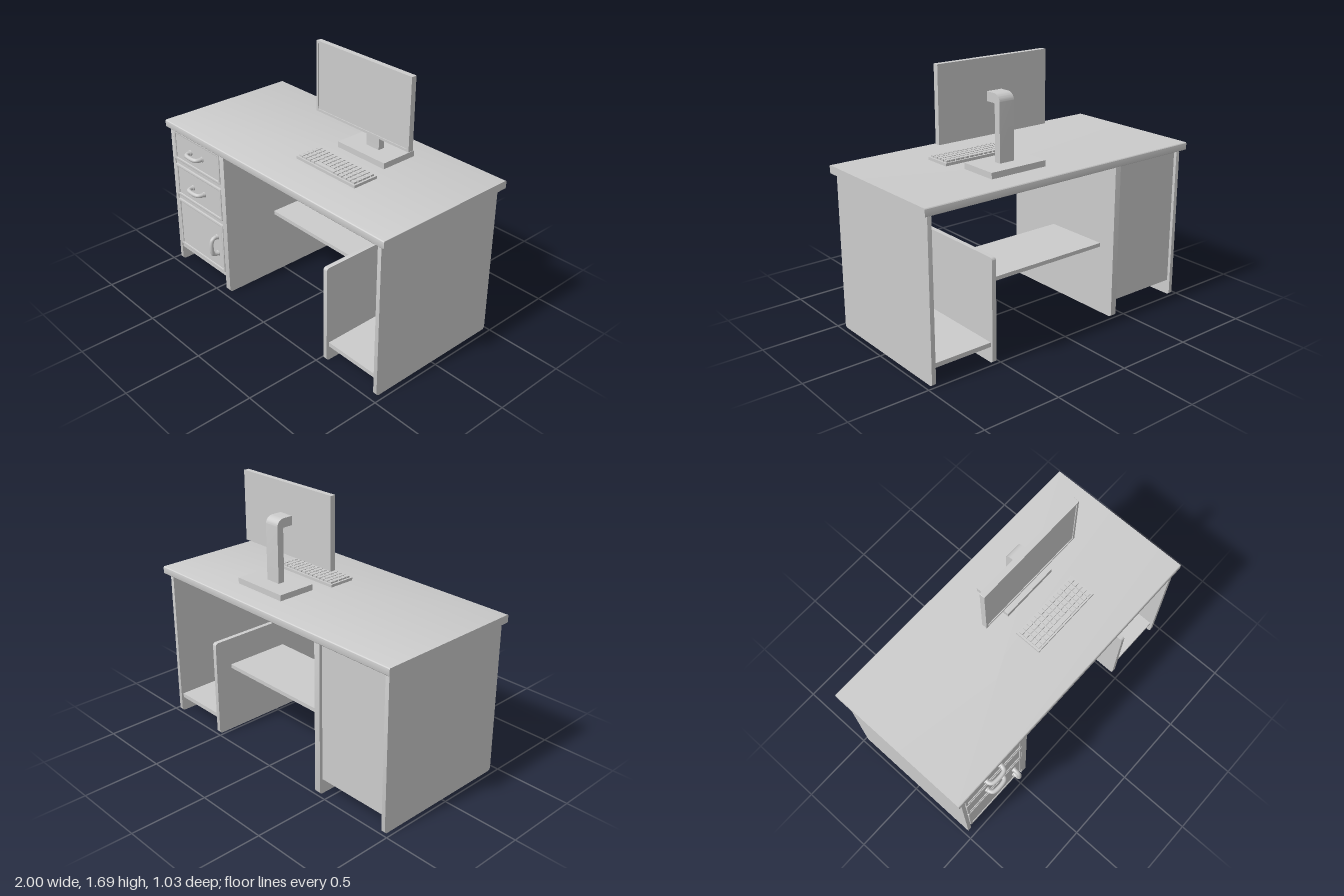
import * as THREE from 'three';
import { toCreasedNormals } from 'three/addons/utils/BufferGeometryUtils.js';

const material = new THREE.MeshStandardMaterial({ color: 0xcccccc });

function add(parent, name, geometry) {
  const mesh = new THREE.Mesh(geometry, material);
  mesh.name = name;
  parent.add(mesh);
  return mesh;
}

// Box given by its limits on each axis
function box(parent, name, [x0, x1], [y0, y1], [z0, z1]) {
  const mesh = add(parent, name, new THREE.BoxGeometry(x1 - x0, y1 - y0, z1 - z0));
  mesh.position.set((x0 + x1) / 2, (y0 + y1) / 2, (z0 + z1) / 2);
  return mesh;
}

function roundedRect(w, h, r) {
  const s = new THREE.Shape();
  const a = w / 2, b = h / 2;
  s.moveTo(-a + r, -b);
  s.lineTo(a - r, -b).absarc(a - r, -b + r, r, -Math.PI / 2, 0);
  s.lineTo(a, b - r).absarc(a - r, b - r, r, 0, Math.PI / 2);
  s.lineTo(-a + r, b).absarc(-a + r, b - r, r, Math.PI / 2, Math.PI);
  s.lineTo(-a, -b + r).absarc(-a + r, -b + r, r, Math.PI, Math.PI * 1.5);
  return s;
}

// Shape drawn in (-z, y), extruded along x from x0 to x1
function extrudeAlongX(parent, name, shape, x0, x1) {
  const geo = new THREE.ExtrudeGeometry(shape, { depth: x1 - x0, bevelEnabled: false, curveSegments: 8 });
  geo.rotateY(Math.PI / 2);
  const mesh = add(parent, name, toCreasedNormals(geo, 0.6));
  mesh.position.x = x0;
  return mesh;
}

// Board with corners rounded in the side profile
function board(parent, name, [x0, x1], [y0, y1], [z0, z1], r) {
  const mesh = extrudeAlongX(parent, name, roundedRect(z1 - z0, y1 - y0, r), x0, x1);
  mesh.position.y = (y0 + y1) / 2;
  mesh.position.z = (z0 + z1) / 2;
  return mesh;
}

// C-shaped pull with a collar at each end, lying along x, base at z = 0
function createHandle() {
  const g = new THREE.Group();
  const path = new THREE.CatmullRomCurve3([
    [-0.062, 0], [-0.062, 0.022], [-0.052, 0.042], [-0.03, 0.05],
    [0.03, 0.05], [0.052, 0.042], [0.062, 0.022], [0.062, 0],
  ].map(([x, z]) => new THREE.Vector3(x, 0, z)));
  add(g, 'handleBar', new THREE.TubeGeometry(path, 40, 0.014, 12));
  for (const x of [-0.062, 0.062]) {
    const collar = add(g, 'handleCollar', new THREE.CylinderGeometry(0.018, 0.02, 0.018, 16));
    collar.rotation.x = Math.PI / 2;
    collar.position.set(x, 0, 0.003);
  }
  return g;
}

// Drawer or door front: flat panel with a raised, bevelled frame
function createFront(name, w, h) {
  const g = new THREE.Group();
  g.name = name;
  const bevel = 0.008;
  const ring = roundedRect(w - 2 * bevel, h - 2 * bevel, 0.002);
  ring.holes.push(roundedRect(w - 0.044 + 2 * bevel, h - 0.044 + 2 * bevel, 0.002));
  const geo = new THREE.ExtrudeGeometry(ring, {
    depth: 0.008, bevelThickness: bevel, bevelSize: bevel, bevelSegments: 2, curveSegments: 2,
  });
  add(g, 'frontFrame', toCreasedNormals(geo, 0.5)).position.z = -0.007;
  box(g, 'frontPanel', [-w / 2 + 0.02, w / 2 - 0.02], [-h / 2 + 0.02, h / 2 - 0.02], [-0.01, 0.002]);
  return g;
}

function createPedestal() {
  const g = new THREE.Group();
  g.name = 'drawerPedestal';
  const x = [-0.945, -0.445];
  box(g, 'pedestalFace', x, [0.1, 1], [0.42, 0.45]);
  box(g, 'pedestalBack', x, [0.1, 1], [-0.465, -0.44]);
  box(g, 'pedestalBottom', x, [0.1, 0.13], [-0.44, 0.42]);

  const fronts = [
    ['topDrawer', 0.785, 1.0], ['middleDrawer', 0.52, 0.757], ['cabinetDoor', 0.13, 0.492],
  ];
  for (const [name, y0, y1] of fronts) {
    const front = createFront(name, 0.496, y1 - y0);
    front.position.set(-0.695, (y0 + y1) / 2, 0.453);
    const handle = createHandle();
    handle.name = name + 'Handle';
    if (name === 'cabinetDoor') {
      handle.rotation.z = Math.PI / 2;
      handle.position.x = 0.175;
    } else {
      handle.position.x = -0.005;
    }
    front.add(handle);
    g.add(front);
  }
  return g;
}

function createMonitor() {
  const g = new THREE.Group();
  g.name = 'monitor';
  box(g, 'monitorBase', [0.04, 0.435], [1.05, 1.09], [-0.345, -0.09]);

  // Bent arm profile in (-z, y)
  const arm = new THREE.Shape();
  arm.moveTo(0.19, 1.085);
  arm.lineTo(0.235, 1.085).lineTo(0.235, 1.445);
  arm.absarc(0.185, 1.445, 0.05, 0, Math.PI / 2);
  arm.lineTo(0.115, 1.495).lineTo(0.115, 1.437).lineTo(0.182, 1.437);
  arm.absarc(0.182, 1.429, 0.008, Math.PI / 2, 0, true);
  extrudeAlongX(g, 'monitorArm', arm, 0.185, 0.29);

  // Casing with a thin bezel around a recessed screen
  const bezel = roundedRect(0.778, 0.455, 0.002);
  bezel.holes.push(roundedRect(0.748, 0.425, 0.001));
  const geo = new THREE.ExtrudeGeometry(bezel, { depth: 0.035, bevelEnabled: false, curveSegments: 2 });
  add(g, 'monitorBezel', geo).position.set(0.239, 1.4625, -0.119);
  box(g, 'monitorScreen', [-0.136, 0.614], [1.249, 1.676], [-0.119, -0.09]);
  return g;
}

function createKeyboard() {
  const g = new THREE.Group();
  g.name = 'keyboard';
  box(g, 'keyboardBody', [-0.01, 0.49], [1.05, 1.07], [0.02, 0.2]);
  const cols = 14, rows = 5, px = 0.48 / cols, pz = 0.164 / rows;
  const key = (c0, c1, row) => box(g, 'key',
    [c0 * px + 0.003, c1 * px - 0.003], [1.068, 1.081],
    [0.028 + row * pz + 0.003, 0.028 + (row + 1) * pz - 0.003]);
  for (let r = 0; r < rows; r++) {
    for (let c = 0; c < cols; c++) {
      if (r === rows - 1 && c >= 4 && c < 9) continue;
      key(c, c + 1, r);
    }
  }
  key(4, 9, rows - 1).name = 'spaceKey';
  return g;
}

export function createModel() {
  const model = new THREE.Group();
  model.name = 'computerDesk';

  // Desktop and upright panels
  board(model, 'desktop', [-1, 1], [1.002, 1.052], [-0.515, 0.475], 0.008);
  const depth = [-0.485, 0.457];
  board(model, 'rightOuterPanel', [-0.972, -0.945], [0, 1.003], depth, 0.02);
  board(model, 'pedestalInnerPanel', [-0.445, -0.403], [0, 1.003], depth, 0.02);
  board(model, 'leftOuterPanel', [0.94, 0.967], [0, 1.003], depth, 0.02);
  board(model, 'dividerPanel', [0.518, 0.547], [0, 0.652], depth, 0.02);

  // Shelves
  box(model, 'middleShelf', [-0.403, 0.518], [0.445, 0.47], [-0.37, 0.07]);
  box(model, 'lowerShelf', [0.547, 0.94], [0.1, 0.128], [-0.47, 0.44]);

  model.add(createPedestal(), createMonitor(), createKeyboard());
  return model;
}
